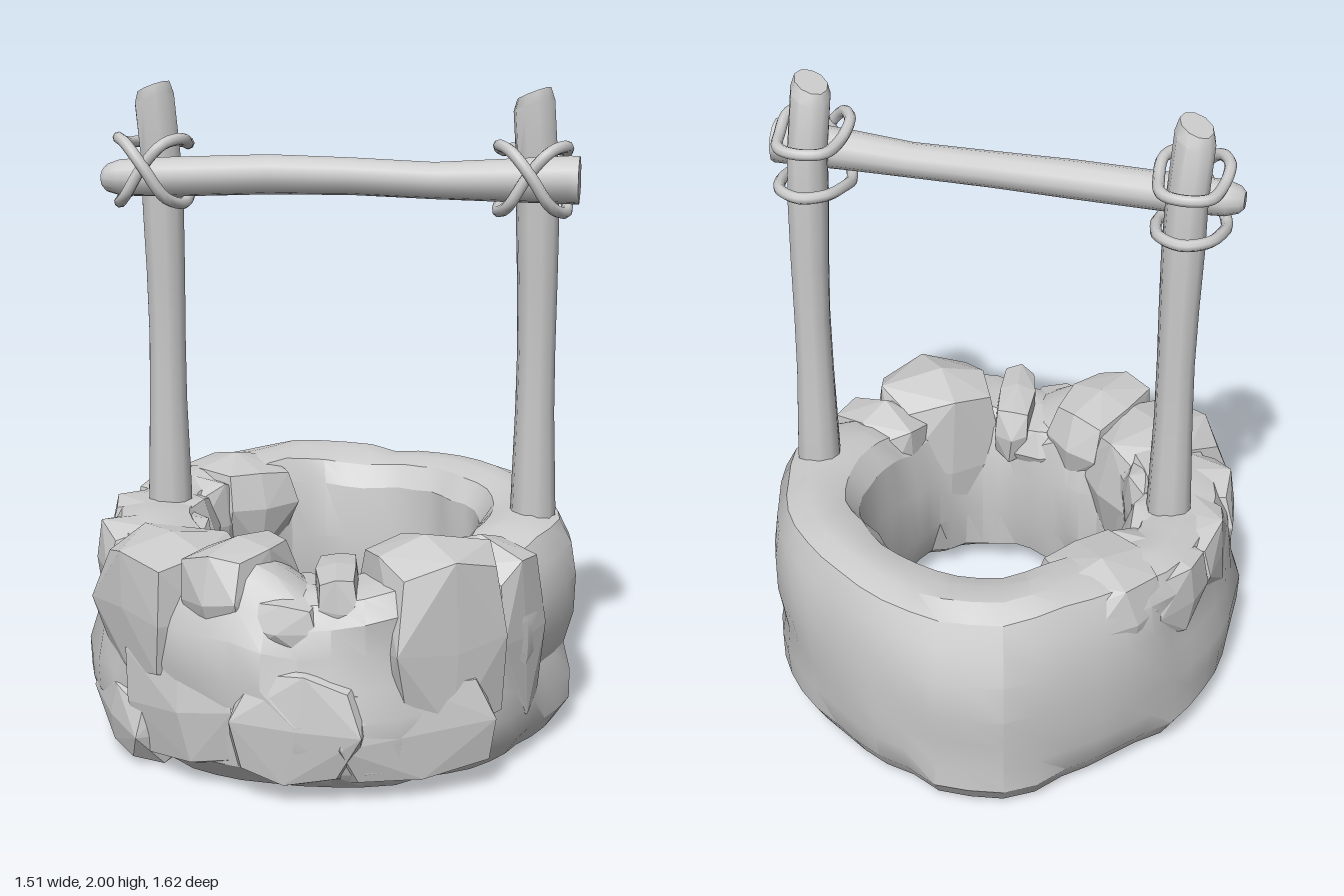
import * as THREE from 'three';
import { toCreasedNormals } from 'three/addons/utils/BufferGeometryUtils.js';
import { ConvexGeometry } from 'three/addons/geometries/ConvexGeometry.js';

const material = new THREE.MeshStandardMaterial({ color: 0xcccccc, roughness: 0.9 });
const DEG = Math.PI / 180;

// Repeatable noise in -1..1 from two numbers
function noise(a, b) {
  const s = Math.sin(a * 127.1 + b * 311.7 + 4.3) * 43758.5453;
  return (s - Math.floor(s)) * 2 - 1;
}

function addMesh(parent, geometry, name) {
  const mesh = new THREE.Mesh(geometry, material);
  mesh.name = name;
  parent.add(mesh);
  return mesh;
}

// Joins rings of points into a surface, either looped or capped at both ends
function skin(rings, looped, crease) {
  const n = rings[0].length, count = rings.length;
  const positions = rings.flat().flatMap(p => [p.x, p.y, p.z]);
  const index = [];
  for (let i = 0; i < (looped ? count : count - 1); i++) {
    for (let j = 0; j < n; j++) {
      const k = (j + 1) % n, i2 = (i + 1) % count;
      const a = i * n + j, b = i2 * n + j, c = i2 * n + k, d = i * n + k;
      index.push(a, b, d, b, c, d);
    }
  }
  if (!looped) {
    for (const end of [0, count - 1]) {
      const mid = new THREE.Vector3();
      rings[end].forEach(p => mid.addScaledVector(p, 1 / n));
      const m = positions.length / 3;
      positions.push(mid.x, mid.y, mid.z);
      for (let j = 0; j < n; j++) {
        const a = end * n + j, b = end * n + (j + 1) % n;
        index.push(m, end ? b : a, end ? a : b);
      }
    }
  }
  const geometry = new THREE.BufferGeometry();
  geometry.setAttribute('position', new THREE.Float32BufferAttribute(positions, 3));
  geometry.setIndex(index);
  return toCreasedNormals(geometry, crease * DEG);
}

// Uneven pole along y; sections are [y, x, z, radius, tilt in x, tilt in z]
function pole(sections, sides) {
  const rings = sections.map(([y, cx, cz, r, tx = 0, tz = 0]) =>
    Array.from({ length: sides }, (_, j) => {
      const t = j / sides * Math.PI * 2, q = r * (1 + 0.03 * noise(j, 1));
      const dx = q * Math.cos(t), dz = q * Math.sin(t);
      return new THREE.Vector3(cx + dx, y + tx * dx + tz * dz, cz + dz);
    }));
  return skin(rings, false, 40);
}

// Wall radii and rim heights every 15 degrees, from the front towards +x
const OUTER = [.79, .79, .77, .77, .75, .72, .76, .74, .75, .76, .76, .79,
  .82, .83, .78, .76, .755, .75, .76, .77, .77, .77, .77, .79];
const INNER = [.39, .42, .45, .43, .40, .40, .41, .43, .45, .44, .47, .46,
  .45, .46, .44, .41, .45, .44, .40, .40, .39, .41, .39, .38];
const RIM = [.60, .62, .66, .66, .64, .68, .69, .69, .70, .71, .71, .70,
  .69, .70, .72, .71, .69, .68, .68, .69, .68, .67, .66, .67];

function sample(table, turn) {
  const f = turn * table.length, i = Math.floor(f);
  return THREE.MathUtils.lerp(table[i % table.length], table[(i + 1) % table.length], f - i);
}

// Wall cross-section: [0 inner..1 outer, 0 bottom..1 top, share of the dip on the +x side]
const PROFILE = [[.8, 0, 0], [.93, .1, 0], [.99, .24, .5], [1, .37, 1], [.99, .52, .3], [.96, .7, 0],
  [.9, .85, 0], [.79, .96, 0], [.6, 1, 0], [.4, 1, 0], [.2, .97, 0], [.07, .87, 0],
  [0, .62, 0], [0, .32, 0], [.08, .08, 0], [.26, 0, 0]];
const OUTER_ROWS = 8;

function wallGeometry() {
  const columns = 48, rings = [];
  for (let i = 0; i < columns; i++) {
    const turn = i / columns, a = turn * Math.PI * 2, deg = turn * 360;
    const inner = sample(INNER, turn), outer = sample(OUTER, turn);
    const rim = sample(RIM, turn), base = 0.022 + 0.012 * Math.sin(3 * a + 1);
    const smooth = deg > 68 && deg < 172;
    const backing = deg < 68 || deg > 300 ? 0.015 : 0;
    const dip = 0.05 * Math.max(0, Math.sin(a)) ** 3;
    rings.push(PROFILE.map(([t, s, share], j) => {
      // Neighbouring columns share an offset so they read as courses of blocks
      const course = j >> 1;
      const stone = noise(Math.floor((i + course % 2 * 2) / 4), course);
      const onOuter = j < OUTER_ROWS;
      const rough = onOuter ? (smooth ? 0.005 : 0.02) : (j > 10 ? 0.022 : 0.008);
      const r = THREE.MathUtils.lerp(inner, outer, t) + rough * stone
        - share * dip - (onOuter ? backing : 0);
      const y = base + (rim - base) * s + (s > 0.8 ? (smooth ? 0.005 : 0.012) * stone : 0);
      return new THREE.Vector3(r * Math.sin(a), y, r * Math.cos(a));
    }));
  }
  return skin(rings, true, 24);
}

// Chipped block: a rounded box with shifted corners
function rockGeometry(w, h, d, seed) {
  const points = [];
  for (let x = -1; x <= 1; x++) for (let y = -1; y <= 1; y++) for (let z = -1; z <= 1; z++) {
    const k = Math.abs(x) + Math.abs(y) + Math.abs(z);
    if (!k) continue;
    const f = [0, 1, 0.88, 0.74][k], id = x * 9 + y * 3 + z + seed * 31;
    points.push(new THREE.Vector3(
      (x * f + 0.1 * noise(id, 1)) * w / 2,
      (y * f + 0.08 * noise(id, 2)) * h / 2,
      (z * f + 0.08 * noise(id, 3)) * d / 2));
  }
  return new ConvexGeometry(points);
}

// Stones in the wall: [angle, radius, y, width, height, depth, tilt]
const ROCKS = [
  [36, .59, .44, .42, .58, .36, 0],
  [60, .57, .40, .26, .56, .32, .05],
  [9, .55, .56, .13, .22, .34, .05],
  [355, .56, .50, .24, .20, .37, -.05],
  [338, .56, .57, .24, .29, .38, .1],
  [314, .59, .48, .40, .42, .42, 0],
  [0, .65, .23, .40, .38, .30, -.1],
  [27, .62, .20, .52, .34, .30, .05],
  [331, .62, .23, .52, .40, .29, .15],
  [308, .67, .13, .36, .22, .24, -.2],
  [290, .61, .30, .34, .46, .28, .1],
  [288, .58, .54, .30, .27, .37, 0],
  [266, .58, .55, .30, .26, .34, .05],
  [246, .59, .54, .28, .28, .32, 0],
  [227, .57, .57, .32, .29, .36, .05],
];

// Rope wound behind the post and crossed over the front of the beam
function ropeGeometry() {
  const half = [[.07, 1.80, -.075], [.095, 1.805, .01], [.098, 1.83, .10], [.055, 1.82, .175]];
  const low = [[-.06, 1.665, .18], [-.098, 1.635, .10], [-.098, 1.65, .01], [-.07, 1.66, -.075]];
  const flip = list => list.map(([x, y, z]) => [-x, y, z]).reverse();
  const path = [[0, 1.80, -.10], ...half, [0, 1.76, .188], ...low,
    [0, 1.66, -.11], ...flip(low), [0, 1.76, .205], ...flip(half)];
  const curve = new THREE.CatmullRomCurve3(path.map(p => new THREE.Vector3(...p)), true);
  return new THREE.TubeGeometry(curve, 90, 0.018, 8, true);
}

export function createModel() {
  const well = new THREE.Group();
  well.name = 'well';

  // Stone ring
  const stonework = new THREE.Group();
  stonework.name = 'stonework';
  well.add(stonework);
  addMesh(stonework, wallGeometry(), 'wall');
  ROCKS.forEach(([deg, r, y, w, h, d, tilt], i) => {
    const rock = addMesh(stonework, rockGeometry(w, h, d, i + 1), 'rock');
    const a = deg * DEG;
    rock.position.set(r * Math.sin(a), y, r * Math.cos(a));
    rock.rotation.set(0, a, tilt, 'YXZ');
  });

  // Two matching posts, each with its rope binding
  const post = pole([
    [.45, 0, -.02, .072], [.70, 0, -.02, .07], [.85, 0, -.018, .065], [1.0, 0, -.016, .06],
    [1.2, .001, -.015, .058], [1.4, 0, -.012, .061], [1.6, -.003, -.006, .065],
    [1.75, -.006, -.002, .063], [1.94, -.017, .024, .061, .3, .2], [1.976, -.018, .03, .05, .4, .2],
  ], 10);
  const rope = ropeGeometry();
  for (const [x, side] of [[-.552, 'right'], [.602, 'left']]) {
    addMesh(well, post, side + 'Post').position.x = x;
    addMesh(well, rope, side + 'Rope').position.x = x - 0.012;
  }

  // Crossbeam, lashed in front of the posts
  const beam = pole([
    [-.71, .01, .115, .026], [-.695, .01, .115, .042], [-.655, .008, .112, .055],
    [-.5, .004, .1, .06], [-.2, -.008, .086, .06], [.05, -.008, .088, .056],
    [.3, -.002, .098, .055], [.5, -.008, .103, .063], [.7, -.014, .103, .071], [.73, -.014, .103, .071],
  ], 12);
  beam.rotateZ(-Math.PI / 2);
  addMesh(well, beam, 'crossbeam').position.y = 1.72;

  return well;
}
